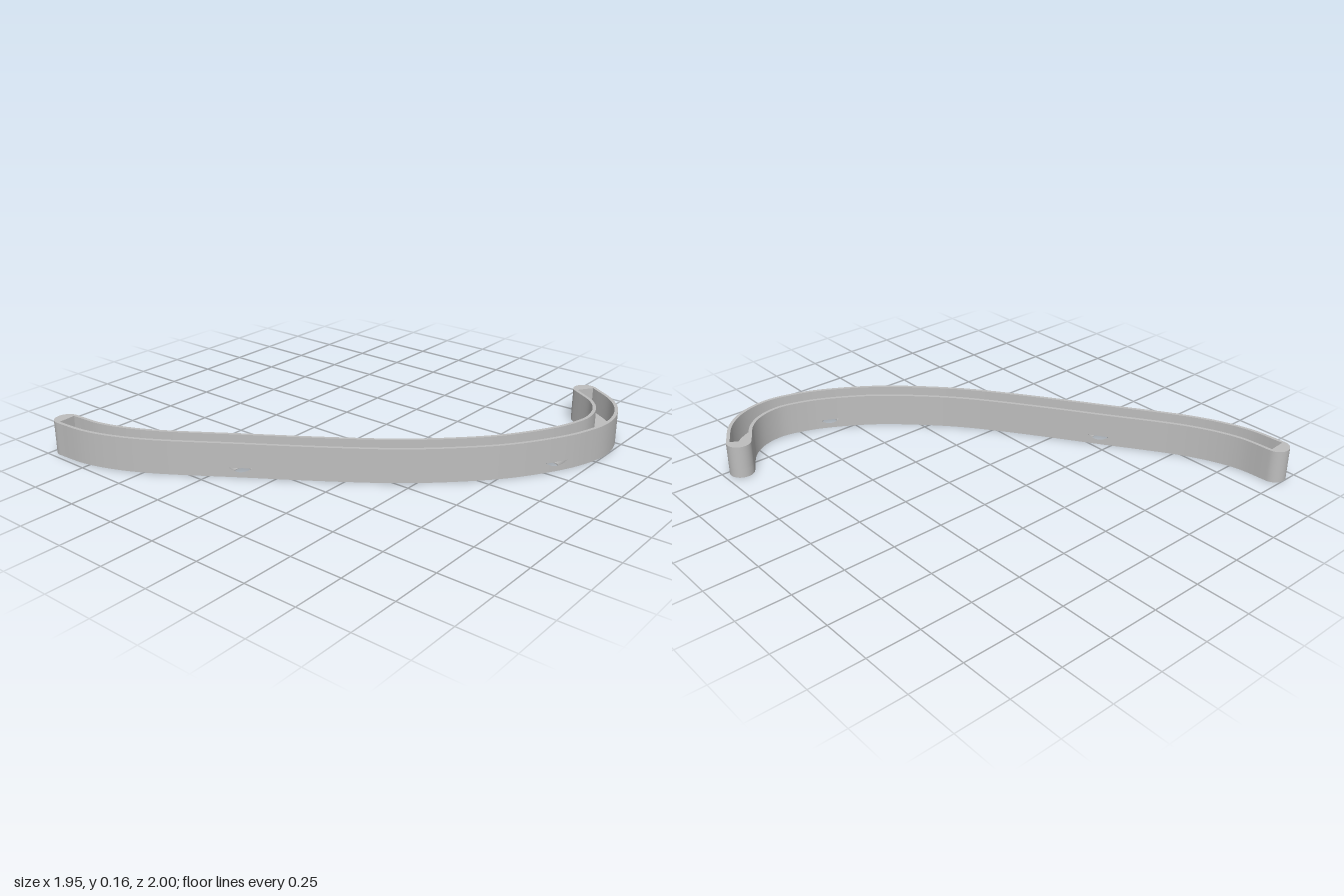
import * as THREE from 'three';

const H = 0.16, FLOOR = 0.045;          // overall height, pocket floor level
const HALF = 0.058, POCKET = 0.042;     // half widths of the body and the pocket
const R0 = 0.038, R1 = 0.078, LIP = 0.004; // hole radius, countersink radius, lip height

// Centreline in plan, as x, z
const path = new THREE.CatmullRomCurve3([
  [-0.918, -0.942], [-0.907, -0.79], [-0.87, -0.66], [-0.796, -0.503], [-0.577, -0.164],
  [-0.447, 0.037], [-0.315, 0.233], [-0.183, 0.413], [-0.029, 0.582], [0.14, 0.735],
  [0.331, 0.857], [0.458, 0.913], [0.595, 0.942], [0.727, 0.915], [0.823, 0.847], [0.913, 0.714],
].map(([x, z]) => new THREE.Vector3(x, 0, z)), false, 'centripetal');
path.arcLengthDivisions = 1000;
const LEN = path.getLength();

// Plan point at distance s along the centreline and t to the side
function at(s, t) {
  const u = THREE.MathUtils.clamp(s / LEN, 0, 1);
  const p = path.getPointAt(u), d = path.getTangentAt(u);
  const over = s - u * LEN;
  return { s, t, x: p.x + d.x * over - d.z * t, z: p.z + d.z * over + d.x * t };
}

// Distance along the centreline that lies nearest to a plan point
function nearest(x, z) {
  let best = 0, min = Infinity;
  for (let i = 0; i <= 2000; i++) {
    const p = at(LEN * i / 2000, 0), d = Math.hypot(p.x - x, p.z - z);
    if (d < min) { min = d; best = p.s; }
  }
  return best;
}
const plainHole = nearest(-0.915, -0.9);
const sinks = [nearest(-0.577, -0.164), nearest(0.331, 0.857)];

const line = (s0, s1, t, n) =>
  Array.from({ length: n + 1 }, (_, i) => at(s0 + (s1 - s0) * i / n, t));
const arc = (s, r, a0, a1, n = 32) => Array.from({ length: n + 1 }, (_, i) => {
  const a = a0 + (a1 - a0) * i / n;
  return at(s + r * Math.cos(a), r * Math.sin(a));
});

// Height of the countersink surface at radius r
const coneY = r => THREE.MathUtils.clamp(
  THREE.MathUtils.mapLinear(r, R0, R1, LIP, FLOOR), LIP, FLOOR);

// Grid surface: rule(u, v) gives [x, y, z]
function surface(nu, nv, rule) {
  const g = new THREE.PlaneGeometry(1, 1, nu, nv), p = g.attributes.position, uv = g.attributes.uv;
  for (let i = 0; i < p.count; i++) p.setXYZ(i, ...rule(uv.getX(i), uv.getY(i)));
  g.computeVertexNormals();
  return g;
}

// Upright wall over a run of plan points
function wall(pts, low, high) {
  const n = pts.length - 1;
  return surface(n, 1, (u, v) => {
    const p = pts[Math.round(u * n)];
    return [p.x, v ? high(p) : low(p), p.z];
  });
}

// Level face with holes, turned up or down
function level(outline, holes, y, up = true) {
  const flat = pts => pts.map(p => new THREE.Vector2(p.x, up ? -p.z : p.z));
  const shape = new THREE.Shape(flat(outline));
  shape.holes = holes.map(h => new THREE.Path(flat(h)));
  return new THREE.ShapeGeometry(shape).rotateX(up ? -Math.PI / 2 : Math.PI / 2).translate(0, y, 0);
}

export function createModel() {
  const model = new THREE.Group();
  model.name = 'curvedChannel';
  const grey = new THREE.MeshStandardMaterial({ color: 0xbebebe, side: THREE.DoubleSide });
  grey.name = 'plain grey';
  const add = (name, geometry) => {
    const mesh = new THREE.Mesh(geometry, grey);
    mesh.name = name;
    model.add(mesh);
  };
  const N = 400, PI = Math.PI;
  const floorY = () => FLOOR, topY = () => H;

  // Body outline with round ends
  const outer = [
    ...line(0, LEN, HALF, N), ...arc(LEN, HALF, PI / 2, -PI / 2).slice(1, -1),
    ...line(LEN, 0, -HALF, N), ...arc(0, HALF, 1.5 * PI, PI / 2).slice(1),
  ];
  const pocketSides = [
    line(LEN, 0, POCKET, N), line(0, 0, 0, 1).map((_, i) => at(0, i ? -POCKET : POCKET)),
    line(0, LEN, -POCKET, N), [at(LEN, -POCKET), at(LEN, POCKET)],
  ];
  const circle = s => arc(s, R0, 0, 2 * PI, 48).slice(0, -1);

  // Outer wall, notched where the countersinks break through
  const notchY = p => Math.min(FLOOR,
    ...sinks.map(c => coneY(Math.hypot(p.s - c, p.t))));
  add('lowerOuterWall', wall(outer, () => 0, notchY));
  add('upperOuterWall', wall(outer, floorY, topY));

  // Pocket walls, rim and underside
  pocketSides.forEach(side => add('pocketWall', wall(side, floorY, topY)));
  add('rim', level(outer.slice(0, -1), [pocketSides.flatMap(s => s.slice(0, -1))], H));
  add('underside', level(outer.slice(0, -1), [plainHole, ...sinks].map(circle), 0, false));

  // Pocket floor in three pieces between the countersinks
  const a = Math.asin(POCKET / R1), reach = R1 * Math.cos(a);
  [[null, sinks[0]], [sinks[0], sinks[1]], [sinks[1], null]].forEach(([from, to]) => {
    const s0 = from === null ? 0 : from + reach, s1 = to === null ? LEN : to - reach;
    const outline = [
      ...line(s0, s1, POCKET, 160),
      ...(to === null ? [] : arc(to, R1, PI - a, PI + a).slice(1, -1)),
      ...line(s1, s0, -POCKET, 160),
      ...(from === null ? [] : arc(from, R1, -a, a).slice(1, -1)),
    ];
    add('pocketFloor', level(outline, from === null ? [circle(plainHole)] : [], FLOOR));
  });

  // Screw holes
  const bore = (s, top) => wall(arc(s, R0, 0, 2 * PI, 48), () => 0, () => top);
  add('endHole', bore(plainHole, FLOOR));
  sinks.forEach(c => {
    add('screwHole', bore(c, LIP));
    // Countersink cone, cut off at the outer wall
    add('countersink', surface(96, 6, (u, v) => {
      const q = u * 2 * PI;
      const max = Math.min(R1, HALF / Math.max(1e-6, Math.abs(Math.sin(q))));
      const r = R0 + (max - R0) * v, p = at(c + r * Math.cos(q), r * Math.sin(q));
      return [p.x, coneY(r), p.z];
    }));
    // Underside of the walls above each notch
    [1, -1].forEach(side => add('notchRoof', level([
      ...line(c - reach, c + reach, side * POCKET, 12),
      ...line(c + reach, c - reach, side * HALF, 12),
    ], [], FLOOR, false)));
  });
  return model;
}
